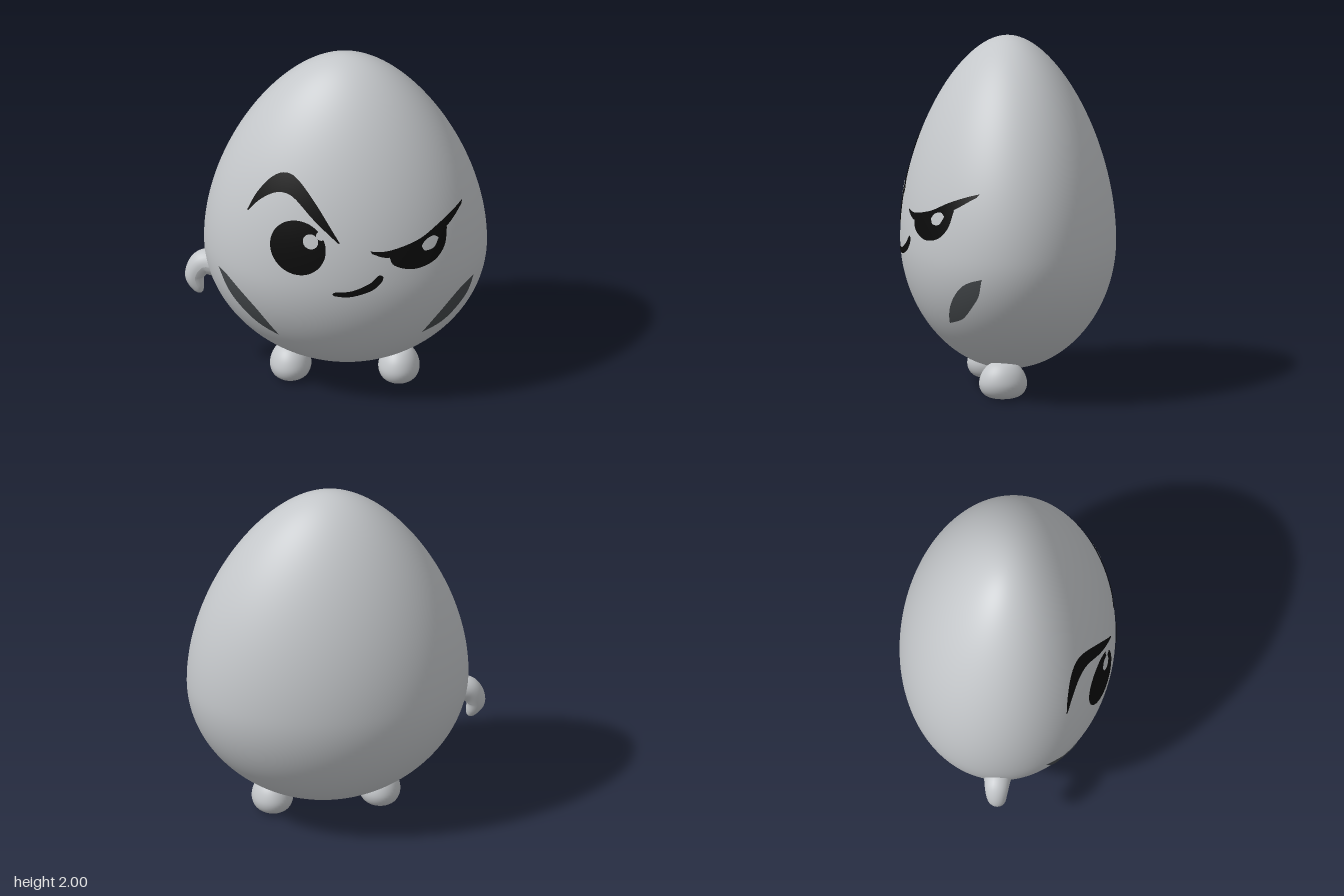
import * as THREE from 'three';

const CX = 0.055, HALF_W = 0.79, HALF_D = 0.6;
const V2 = (x, y) => new THREE.Vector2(x, y);

// Egg profile (unit radius), bottom to top
const lower = new THREE.CubicBezierCurve(V2(0, 0.125), V2(0.55, 0.125), V2(1, 0.47), V2(1, 0.85));
const upper = new THREE.CubicBezierCurve(V2(1, 0.85), V2(1, 1.4), V2(0.45, 2), V2(0, 2));
const profile = [...lower.getPoints(40), ...upper.getPoints(60).slice(1)];
profile[0].x = profile[profile.length - 1].x = 0;

// Profile radius at a height
function radiusAt(y) {
  const i = Math.max(1, profile.findIndex(p => p.y >= y));
  const a = profile[i - 1], b = profile[i];
  return THREE.MathUtils.lerp(a.x, b.x, (y - a.y) / (b.y - a.y));
}

// Point on the front of the egg, lifted along the surface normal
function onEgg(x, y, lift) {
  const dx = x - CX, r = radiusAt(y);
  const z = HALF_D * Math.sqrt(Math.max(0, r * r - (dx / HALF_W) ** 2));
  const slope = (radiusAt(y + 0.02) - radiusAt(y - 0.02)) / 0.04;
  const n = new THREE.Vector3(dx / HALF_W ** 2, -r * slope, z / HALF_D ** 2).normalize();
  return new THREE.Vector3(x, y, z).addScaledVector(n, lift);
}

// Thin painted patch between a top and a bottom curve, both running towards +x
function patch(top, bottom, lift = 0.005) {
  const NU = 48, NV = 10, pos = [], index = [];
  const curve = pts => new THREE.SplineCurve(pts.map(p => V2(p[0], p[1])));
  const t = curve(top), b = curve(bottom);
  for (let i = 0; i <= NU; i++) {
    const p = b.getPoint(i / NU), q = t.getPoint(i / NU);
    for (let j = 0; j <= NV; j++) {
      const m = p.clone().lerp(q, j / NV);
      pos.push(...onEgg(m.x, m.y, lift).toArray());
      if (i < NU && j < NV) {
        const k = i * (NV + 1) + j, l = k + NV + 1;
        index.push(k, l, l + 1, k, l + 1, k + 1);
      }
    }
  }
  const g = new THREE.BufferGeometry();
  g.setAttribute('position', new THREE.Float32BufferAttribute(pos, 3));
  g.setIndex(index);
  g.computeVertexNormals();
  return g;
}

function ellipsePatch(cx, cy, rx, ry, lift) {
  const arc = s => Array.from({ length: 25 }, (_, i) => {
    const a = Math.PI * (1 - i / 24);
    return [cx + rx * Math.cos(a), cy + s * ry * Math.sin(a)];
  });
  return patch(arc(1), arc(-1), lift);
}

export function createModel() {
  const group = new THREE.Group();
  const material = (name, color) => {
    const m = new THREE.MeshStandardMaterial({ color });
    m.name = name;
    return m;
  };
  const shell = material('pale grey', 0xc4c7ca);
  const ink = material('black', 0x0b0b0b);
  const blush = material('dark grey', 0x45494c);
  const paint = material('pale grey highlight', 0xc4c7ca);
  paint.side = ink.side = blush.side = THREE.DoubleSide;

  const add = (name, geometry, mat) => {
    const mesh = new THREE.Mesh(geometry, mat);
    mesh.name = name;
    group.add(mesh);
    return mesh;
  };

  // Egg body
  const egg = new THREE.LatheGeometry(profile, 128);
  egg.scale(HALF_W, 1, HALF_D);
  add('body', egg, shell).position.x = CX;

  // Feet
  const footProfile = new THREE.SplineCurve([[0, 0], [0.06, 0.006], [0.1, 0.033], [0.116, 0.085],
    [0.102, 0.145], [0.07, 0.19], [0.03, 0.21], [0, 0.213]].map(p => V2(...p))).getPoints(32);
  footProfile.forEach(p => { p.x = Math.max(0, p.x); p.y = Math.max(0, p.y); });
  for (const [name, x] of [['rightFoot', -0.248], ['leftFoot', 0.357]]) {
    const foot = new THREE.LatheGeometry(footProfile, 40);
    foot.scale(1, 1, 1.16);
    add(name, foot, shell).position.set(x, 0, 0.062);
  }

  // Small curled arm: a tube narrowed to a rounded tip
  const path = new THREE.CatmullRomCurve3([[-0.66, 0.69, 0.03], [-0.74, 0.685, 0.03],
    [-0.785, 0.61, 0.035], [-0.765, 0.54, 0.045], [-0.745, 0.505, 0.05]].map(p => new THREE.Vector3(...p)));
  const SEG = 48, SIDES = 24;
  const arm = new THREE.TubeGeometry(path, SEG, 1, SIDES);
  const v = new THREE.Vector3(), ap = arm.attributes.position;
  for (let i = 0; i <= SEG; i++) {
    const u = i / SEG, c = path.getPointAt(u);
    const r = 0.082 * (1 - 0.52 * u) * Math.sqrt(1 - u ** 6);
    for (let j = 0; j <= SIDES; j++) {
      const k = i * (SIDES + 1) + j;
      v.fromBufferAttribute(ap, k).sub(c).multiplyScalar(r).add(c);
      ap.setXYZ(k, v.x, v.y, v.z);
    }
  }
  arm.computeVertexNormals();
  add('rightArm', arm, shell);

  // Raised brow and round eye
  add('rightBrow', patch(
    [[-0.47, 1.215], [-0.415, 1.325], [-0.335, 1.425], [-0.255, 1.468], [-0.18, 1.44], [-0.07, 1.31], [0.055, 1.115]],
    [[-0.465, 1.213], [-0.405, 1.285], [-0.335, 1.34], [-0.27, 1.362], [-0.2, 1.34], [-0.09, 1.235], [0.05, 1.11]]), ink);
  add('rightEye', ellipsePatch(-0.18, 1.065, 0.157, 0.158, 0.005), ink);
  add('rightEyeHighlight', ellipsePatch(-0.108, 1.114, 0.043, 0.043, 0.008), paint);
  add('rightEyeNotch', ellipsePatch(-0.05, 1.152, 0.028, 0.026, 0.008), paint);

  // Lowered brow with the half-closed eye under it
  add('leftBrow', patch(
    [[0.225, 1.065], [0.325, 1.06], [0.485, 1.1], [0.6, 1.165], [0.715, 1.232]],
    [[0.235, 1.05], [0.33, 1.02], [0.485, 1.055], [0.635, 1.13], [0.712, 1.212]]), ink);
  add('leftEye', patch(
    [[0.33, 1.03], [0.485, 1.08], [0.638, 1.13]],
    [[0.33, 1.03], [0.357, 0.97], [0.463, 0.932], [0.57, 0.955], [0.627, 1.025], [0.638, 1.12]]), ink);
  add('leftEyeHighlight', patch(
    [[0.503, 1.06], [0.525, 1.09], [0.565, 1.104], [0.594, 1.085]],
    [[0.503, 1.06], [0.522, 1.03], [0.57, 1.036], [0.594, 1.085]], 0.008), paint);

  // Smirk
  add('mouth', patch(
    [[0.015, 0.805], [0.035, 0.818], [0.12, 0.826], [0.22, 0.87], [0.272, 0.918], [0.298, 0.908]],
    [[0.015, 0.805], [0.035, 0.792], [0.12, 0.79], [0.23, 0.825], [0.285, 0.872], [0.298, 0.908]]), ink);

  // Cheek marks
  add('rightCheek', patch(
    [[-0.635, 0.805], [-0.57, 0.77], [-0.42, 0.625], [-0.295, 0.455]],
    [[-0.635, 0.805], [-0.56, 0.655], [-0.42, 0.515], [-0.295, 0.45]]), blush);
  add('leftCheek', patch(
    [[0.5, 0.465], [0.59, 0.585], [0.7, 0.71], [0.78, 0.76]],
    [[0.5, 0.465], [0.62, 0.515], [0.735, 0.64], [0.78, 0.76]]), blush);

  return group;
}
